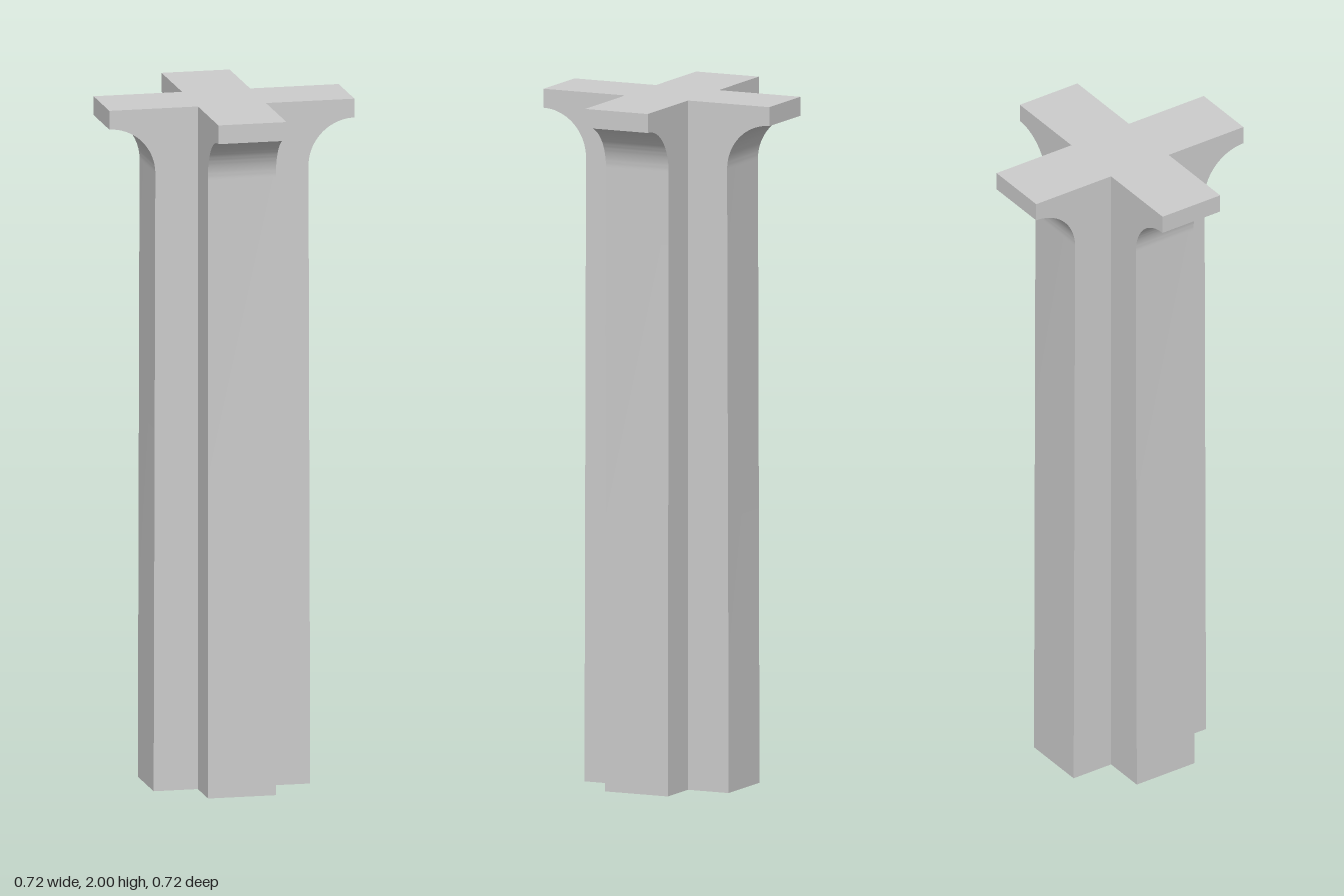
import * as THREE from 'three';
import { toCreasedNormals } from 'three/addons/utils/BufferGeometryUtils.js';

const HALF = 0.1; // half the width of each arm
const HEIGHT = 2;
const REACH = 0.36; // tip of the flared head
const FLARE = 0.135; // radius of the concave flare

// Side profile of one arm: slightly tapered shaft, concave flare, flat lip
function armGeometry() {
  const shape = new THREE.Shape();
  shape.moveTo(HALF, 0);
  shape.lineTo(0.23, 0);
  shape.lineTo(REACH - FLARE, 1.81);
  shape.absarc(REACH, 1.81, FLARE, Math.PI, Math.PI / 2, true);
  shape.lineTo(REACH, HEIGHT);
  shape.lineTo(HALF, HEIGHT);
  shape.closePath();
  const geometry = new THREE.ExtrudeGeometry(shape, { depth: 2 * HALF, bevelEnabled: false, curveSegments: 16 });
  geometry.translate(0, 0, -HALF);
  return toCreasedNormals(geometry, 0.5);
}

export function createModel() {
  const column = new THREE.Group();
  column.name = 'crossColumn';
  const stone = new THREE.MeshStandardMaterial({ color: 0xcccccc });
  stone.name = 'lightGrey';

  // Square core between the arms
  const core = new THREE.Mesh(new THREE.BoxGeometry(2 * HALF, HEIGHT, 2 * HALF), stone);
  core.name = 'core';
  core.position.y = HEIGHT / 2;
  column.add(core);

  // Four identical arms around the core
  const geometry = armGeometry();
  ['leftArm', 'backArm', 'rightArm', 'frontArm'].forEach((name, i) => {
    const arm = new THREE.Mesh(geometry, stone);
    arm.name = name;
    arm.rotation.y = i * Math.PI / 2;
    column.add(arm);
  });
  return column;
}
